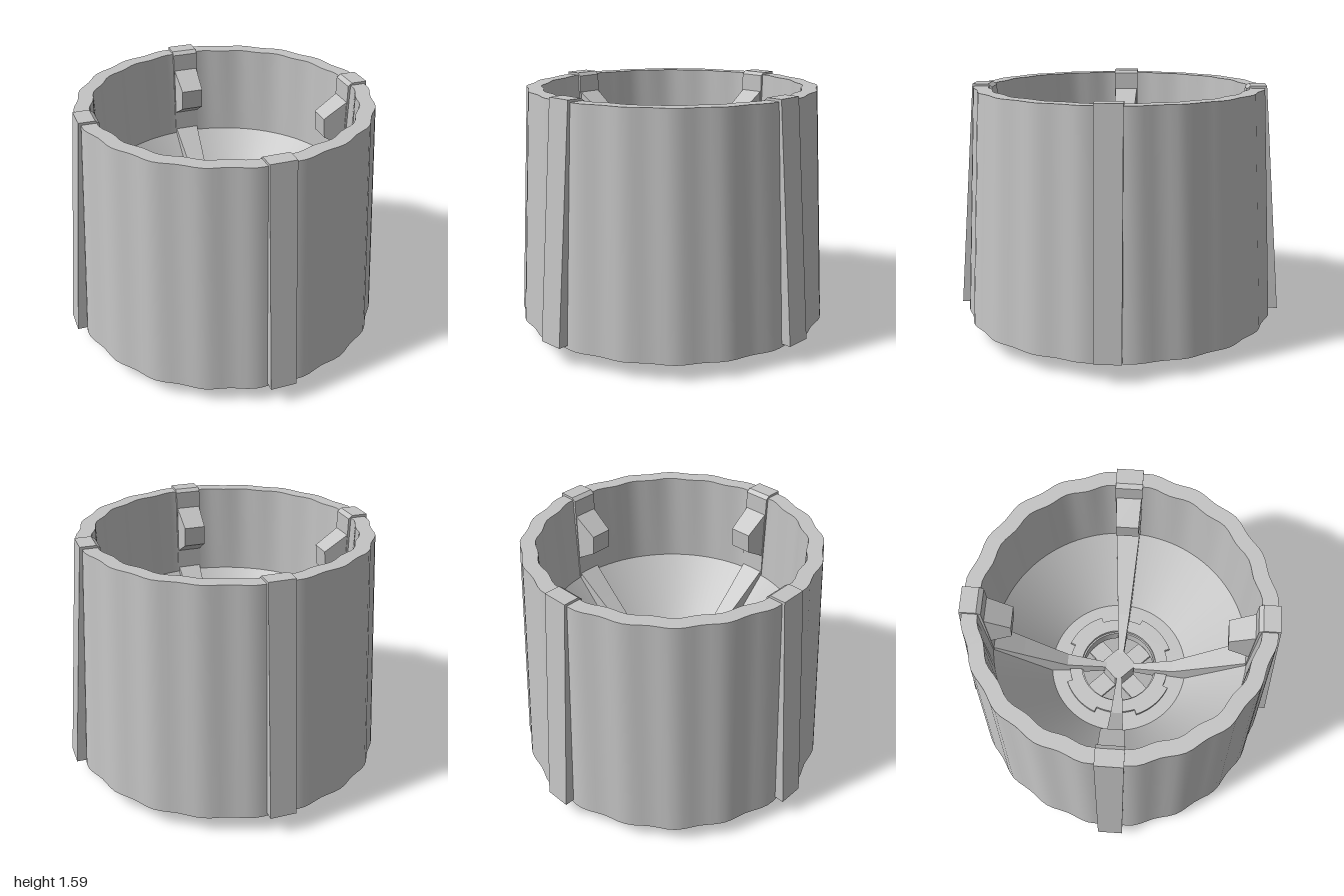
import * as THREE from 'three';
import { toCreasedNormals } from 'three/addons/utils/BufferGeometryUtils.js';

const grey = new THREE.MeshStandardMaterial({ color: 0xc4c4c4 });
grey.name = 'plain grey';

const HUB_Z = -0.015; // the hub sits slightly behind the centre

function add(parent, name, geometry) {
  const mesh = new THREE.Mesh(geometry, grey);
  mesh.name = name;
  parent.add(mesh);
  return mesh;
}

const vectors = (list) => list.map(([x, y]) => new THREE.Vector2(x, y));

// Turned profile, listed anticlockwise in (radius, height)
function turned(profile, segments) {
  const closed = [...profile, profile[0]];
  return new THREE.LatheGeometry(vectors(closed), segments);
}

// Gentle scallops around the wall; the hub ring is moved to the hub's centre
function shapeShell(geometry) {
  const p = geometry.attributes.position;
  for (let i = 0; i < p.count; i++) {
    const x = p.getX(i), z = p.getZ(i), r = Math.hypot(x, z);
    if (r < 0.5) p.setZ(i, z + HUB_Z);
    if (r < 0.81) continue;
    const a = Math.atan2(z, x);
    const k = (r + 0.009 * Math.cos(20 * a) + 0.003 * Math.cos(8 * a)) / r;
    p.setX(i, x * k);
    p.setZ(i, z * k);
  }
  return geometry;
}

// Upright plate drawn in (radius, height), with a width that depends on radius
function radialPlate(outline, width) {
  const geometry = new THREE.ExtrudeGeometry(new THREE.Shape(vectors(outline)), { depth: 1, bevelEnabled: false });
  const p = geometry.attributes.position;
  for (let i = 0; i < p.count; i++) p.setZ(i, (p.getZ(i) - 0.5) * width(p.getX(i)));
  geometry.computeVertexNormals();
  return geometry;
}

// Flat ring sector lying in the ground plane
function ringSector(inner, outer, start, end, height) {
  const shape = new THREE.Shape();
  shape.absarc(0, 0, outer, start, end, false);
  shape.absarc(0, 0, inner, end, start, true);
  const geometry = new THREE.ExtrudeGeometry(shape, { depth: height, bevelEnabled: false, curveSegments: 8 });
  return geometry.rotateX(-Math.PI / 2);
}

export function createModel() {
  const model = new THREE.Group();
  model.name = 'ribbedShroud';
  const hub = new THREE.Group();
  hub.name = 'hub';
  hub.position.z = HUB_Z;
  model.add(hub);

  // Hollow tapered wall with a funnel floor and a hub hole
  const shell = turned([
    [0.987, 0.11], [0.909, 1.575], [0.815, 1.575], [0.805, 0.99],
    [0.45, 0.57], [0.24, 0.57], [0.24, 0.48], [0.465, 0.48],
    [0.465, 0.56], [0.8, 0.955], [0.92, 1.0], [0.977, 0.11],
  ], 120);
  add(model, 'shell', toCreasedNormals(shapeShell(shell), 0.5));

  // Stepped collar around the hub hole
  for (let i = 0; i < 8; i++) {
    const a = (i * Math.PI) / 4 - Math.PI / 8;
    const sector = ringSector(0.25, i % 2 ? 0.33 : 0.365, a, a + Math.PI / 4, 0.03);
    add(hub, 'collarStep', sector).position.y = 0.565;
  }

  // Broken rings under the hub
  for (const [inner, outer] of [[0.26, 0.33], [0.36, 0.465]]) {
    for (let i = 0; i < 8; i++) {
      const a = (i * Math.PI) / 4;
      add(hub, 'hubUnderRing', ringSector(inner, outer, a + 0.04, a + 0.745, 0.04)).position.y = 0.45;
    }
  }

  // Ribs, lugs and struts on the four diagonals
  const rib = radialPlate(
    [[0.96, 0.13], [1.047, 0.13], [0.925, 1.59], [0.825, 1.59], [0.8, 1.57], [0.795, 1.0], [0.925, 1.0]],
    () => 0.164,
  );
  const lug = radialPlate([[0.86, 1.11], [0.86, 1.5], [0.65, 1.36], [0.66, 1.23]], (r) => 0.14 + 0.1 * (r - 0.65));
  const strut = radialPlate(
    [[0.09, 0.55], [0.25, 0.53], [0.45, 0.55], [0.83, 0.98], [0.83, 1.05], [0.62, 0.88], [0.35, 0.67], [0.09, 0.62]],
    (r) => 0.035 + 0.165 * Math.max(0, r - 0.09),
  );

  // Quarter-round hub post, open at its top
  const slot = 0.06, radius = 0.235;
  const edge = Math.asin(slot / radius);
  const quarter = new THREE.Shape();
  quarter.moveTo(slot, slot);
  quarter.lineTo(radius * Math.cos(edge), slot);
  quarter.absarc(0, 0, radius, edge, Math.PI / 2 - edge, false);
  const post = new THREE.ExtrudeGeometry(quarter, { depth: 0.47, bevelEnabled: false, curveSegments: 10 });
  const [caps, sides] = post.groups.map((g) => ({ ...g }));
  post.clearGroups();
  post.addGroup(caps.start, caps.count / 2, 0);
  post.addGroup(sides.start, sides.count, 0);
  post.rotateX(-Math.PI / 2);

  for (let i = 0; i < 4; i++) {
    const corner = new THREE.Group();
    corner.name = 'cornerSupport';
    corner.rotation.y = Math.PI / 4 + (i * Math.PI) / 2;
    add(corner, 'rib', rib);
    add(corner, 'lug', lug);
    add(corner, 'strut', strut);
    model.add(corner);

    const hubPost = add(hub, 'hubPost', post);
    hubPost.material = [grey];
    hubPost.rotation.y = (i * Math.PI) / 2;
    hubPost.position.y = 0.005;
  }

  // Cross-shaped roof over the slots between the posts
  add(hub, 'slotRoof', new THREE.BoxGeometry(0.48, 0.03, 0.12)).position.y = 0.46;
  add(hub, 'slotRoof', new THREE.BoxGeometry(0.12, 0.03, 0.48)).position.y = 0.46;

  // Chamfered block where the struts meet
  const c = 0.085, d = 0.06;
  const block = new THREE.Shape(vectors([[c, -d], [c, d], [d, c], [-d, c], [-c, d], [-c, -d], [-d, -c], [d, -c]]));
  const blockGeometry = new THREE.ExtrudeGeometry(block, { depth: 0.15, bevelEnabled: false });
  add(hub, 'centreBlock', blockGeometry.rotateX(-Math.PI / 2)).position.y = 0.47;

  return model;
}
